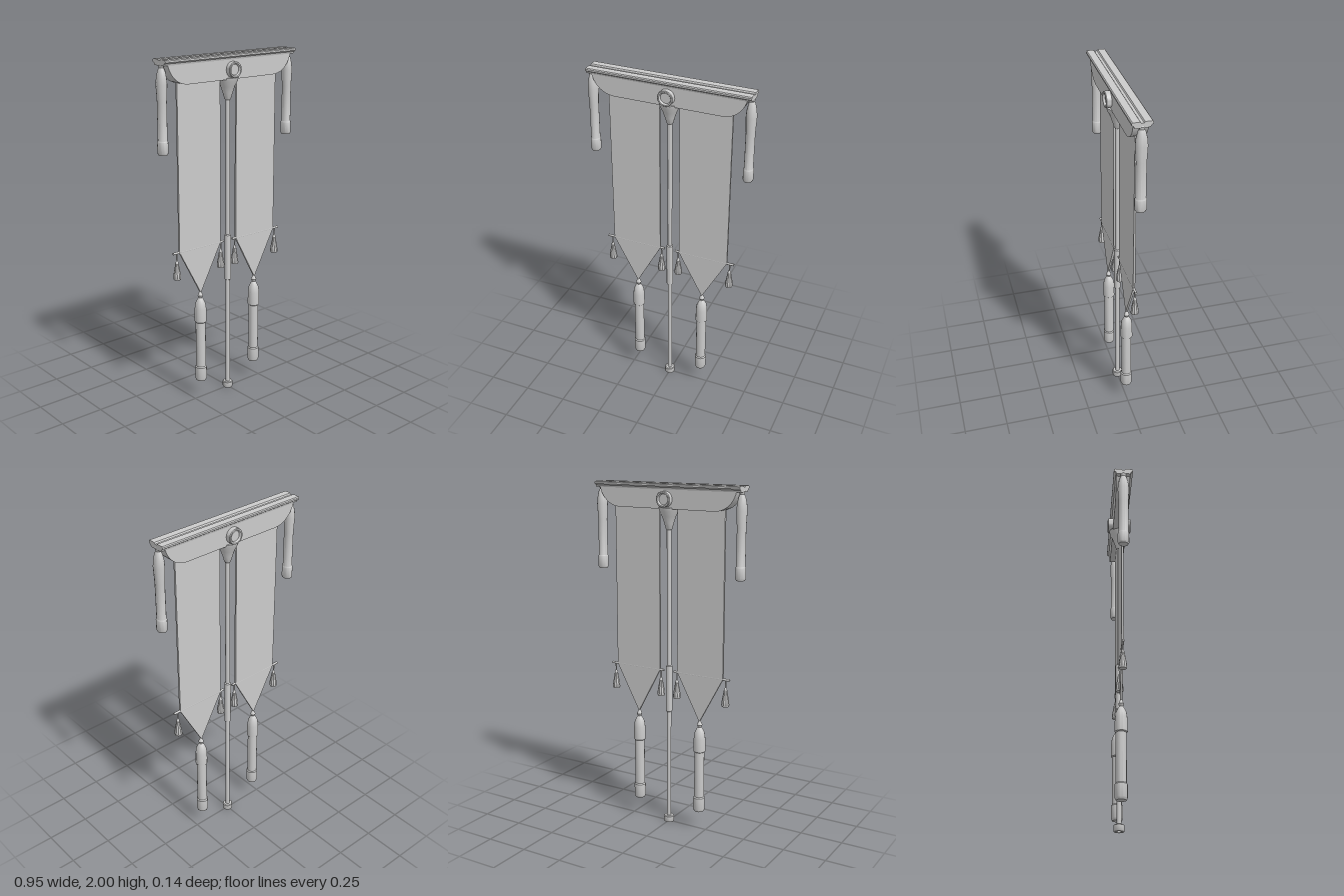
import * as THREE from 'three';
import { toCreasedNormals } from 'three/addons/utils/BufferGeometryUtils.js';

const grey = new THREE.MeshStandardMaterial({ color: 0xcccccc, side: THREE.DoubleSide });

function add(parent, name, geometry, x = 0, y = 0, z = 0) {
  const mesh = new THREE.Mesh(geometry, grey);
  mesh.name = name;
  mesh.position.set(x, y, z);
  parent.add(mesh);
  return mesh;
}

// turned part from [radius, height] pairs, listed bottom to top
function turned(profile, sides = 14) {
  const points = profile.map(([r, y]) => new THREE.Vector2(r, y));
  return toCreasedNormals(new THREE.LatheGeometry(points, sides), 0.6);
}

// shape in x/y given thickness, centred on z = 0
function slab(shape, depth) {
  const g = new THREE.ExtrudeGeometry(shape, { depth, bevelEnabled: false, curveSegments: 10 });
  g.translate(0, 0, -depth / 2);
  return toCreasedNormals(g, 0.5);
}

const polygon = (pts) => new THREE.Shape(pts.map(([x, y]) => new THREE.Vector2(x, y)));

export function createModel() {
  const model = new THREE.Group();
  model.name = 'bannerStandard';

  // pole with hollow foot, hand grip and flared socket
  add(model, 'pole', turned([
    [0, 0.02], [0.017, 0.02], [0.017, 0], [0.028, 0], [0.03, 0.004], [0.03, 0.034], [0.026, 0.038],
    [0.013, 0.038], [0.013, 0.69], [0.019, 0.695], [0.019, 0.965], [0.013, 0.97],
    [0.013, 1.745], [0.018, 1.75], [0.028, 1.785], [0.04, 1.82], [0.055, 1.85], [0.06, 1.87], [0, 1.87],
  ], 16));

  // head board with rounded lower corners
  const board = new THREE.Shape();
  board.moveTo(-0.435, 1.975);
  board.bezierCurveTo(-0.42, 1.91, -0.37, 1.862, -0.3, 1.862);
  board.lineTo(0.3, 1.862);
  board.bezierCurveTo(0.37, 1.862, 0.42, 1.91, 0.435, 1.975);
  add(model, 'headBoard', slab(board, 0.08));

  // cornice: stepped moulding with a groove along its top
  const cornice = slab(polygon([
    [-0.04, 1.968], [0.04, 1.968], [0.043, 1.978], [0.055, 1.986], [0.055, 1.995], [0.05, 2],
    [0.012, 2], [0.007, 1.993], [-0.007, 1.993], [-0.012, 2], [-0.05, 2], [-0.055, 1.995],
    [-0.055, 1.986], [-0.043, 1.978],
  ]), 0.92);
  cornice.rotateY(Math.PI / 2);
  add(model, 'cornice', cornice);

  // round medallion through the board, recessed on both faces
  const medallion = turned([
    [0, -0.058], [0.029, -0.058], [0.031, -0.066], [0.034, -0.07], [0.041, -0.07], [0.044, -0.066],
    [0.044, 0.066], [0.041, 0.07], [0.034, 0.07], [0.031, 0.066], [0.029, 0.058], [0, 0.058],
  ], 28);
  medallion.rotateX(Math.PI / 2);
  add(model, 'medallion', medallion, 0, 1.915);

  const largeTassel = turned([
    [0, 0], [0.028, 0], [0.034, 0.012], [0.034, 0.085], [0.029, 0.092], [0.029, 0.368],
    [0.035, 0.373], [0.034, 0.45], [0.029, 0.485], [0.018, 0.508], [0.01, 0.518],
    [0.016, 0.532], [0.006, 0.555], [0, 0.56],
  ]);
  const sideTassel = turned([
    [0, 0], [0.027, 0], [0.032, 0.01], [0.032, 0.07], [0.028, 0.076], [0.028, 0.28],
    [0.033, 0.37], [0.03, 0.405], [0.022, 0.44], [0.014, 0.456], [0.018, 0.472], [0.011, 0.486], [0, 0.487],
  ]);
  const smallTassel = turned([
    [0, 0], [0.02, 0], [0.023, 0.008], [0.021, 0.03], [0.013, 0.075], [0.009, 0.1], [0.004, 0.11], [0.004, 0.155],
  ], 10);
  const rod = new THREE.CylinderGeometry(0.007, 0.007, 0.36, 8);
  rod.rotateZ(Math.PI / 2);

  for (const side of [-1, 1]) {
    const half = new THREE.Group();
    half.name = side > 0 ? 'leftBanner' : 'rightBanner';
    model.add(half);

    // hanging cloth ending in a point
    const cx = side * 0.205;
    add(half, 'cloth', slab(polygon([
      [cx - 0.147, 1.9], [cx - 0.147, 0.935], [cx, 0.662], [cx + 0.147, 0.935], [cx + 0.147, 1.9],
    ]), 0.012));
    add(half, 'clothRod', rod, side * 0.213, 0.935);
    for (const x of [0.053, 0.368]) add(half, 'smallTassel', smallTassel, side * x, 0.78);
    add(half, 'largeTassel', largeTassel, cx, 0.112);

    // tassel hung from the end of the head board
    add(half, 'sideTassel', sideTassel, side * 0.447, 1.5).scale.x = 0.88;
  }
  return model;
}
